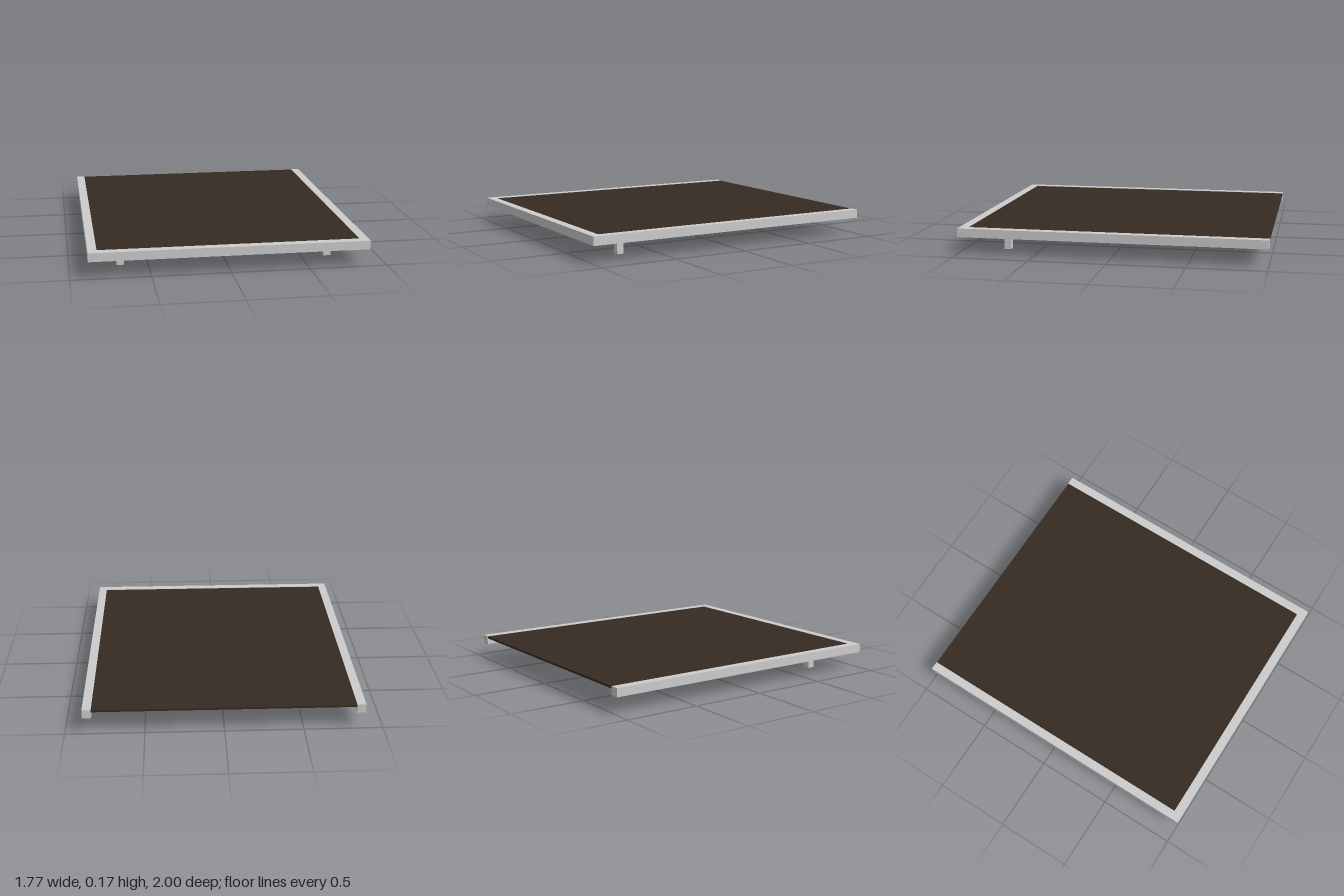
import * as THREE from 'three';

export function createModel() {
  const group = new THREE.Group();
  const frameGrey = new THREE.MeshStandardMaterial({ color: 0xcccccc });
  frameGrey.name = 'frame grey';
  const deckBrown = new THREE.MeshStandardMaterial({ color: 0x362b22 });
  deckBrown.name = 'deck brown';

  // Box given by its lower and upper corners
  const box = (name, material, [x0, y0, z0], [x1, y1, z1]) => {
    const mesh = new THREE.Mesh(new THREE.BoxGeometry(x1 - x0, y1 - y0, z1 - z0), material);
    mesh.position.set((x0 + x1) / 2, (y0 + y1) / 2, (z0 + z1) / 2);
    mesh.name = name;
    group.add(mesh);
  };

  const outer = 0.887, inner = 0.83, bottom = 0.11, top = 0.167;

  // Deck panel, open at the back edge
  box('deckPanel', deckBrown, [-inner, 0.151, -0.998], [inner, 0.165, 0.942]);

  // Front rail and the cross beam under the panel
  box('frontRail', frameGrey, [-outer, bottom, 0.942], [outer, top, 1]);
  box('crossBeam', frameGrey, [-inner, bottom, 0.626], [inner, 0.13, 0.67]);

  // Side rails and posts, mirrored
  for (const [side, s] of [['left', 1], ['right', -1]]) {
    const span = (a, b) => (s > 0 ? [a, b] : [-b, -a]);
    const [r0, r1] = span(inner, outer);
    box(side + 'Rail', frameGrey, [r0, bottom, -1], [r1, top, 0.942]);
    const [p0, p1] = span(0.652, 0.697);
    box(side + 'Post', frameGrey, [p0, 0, 0.7], [p1, 0.151, 0.745]);
  }
  return group;
}
